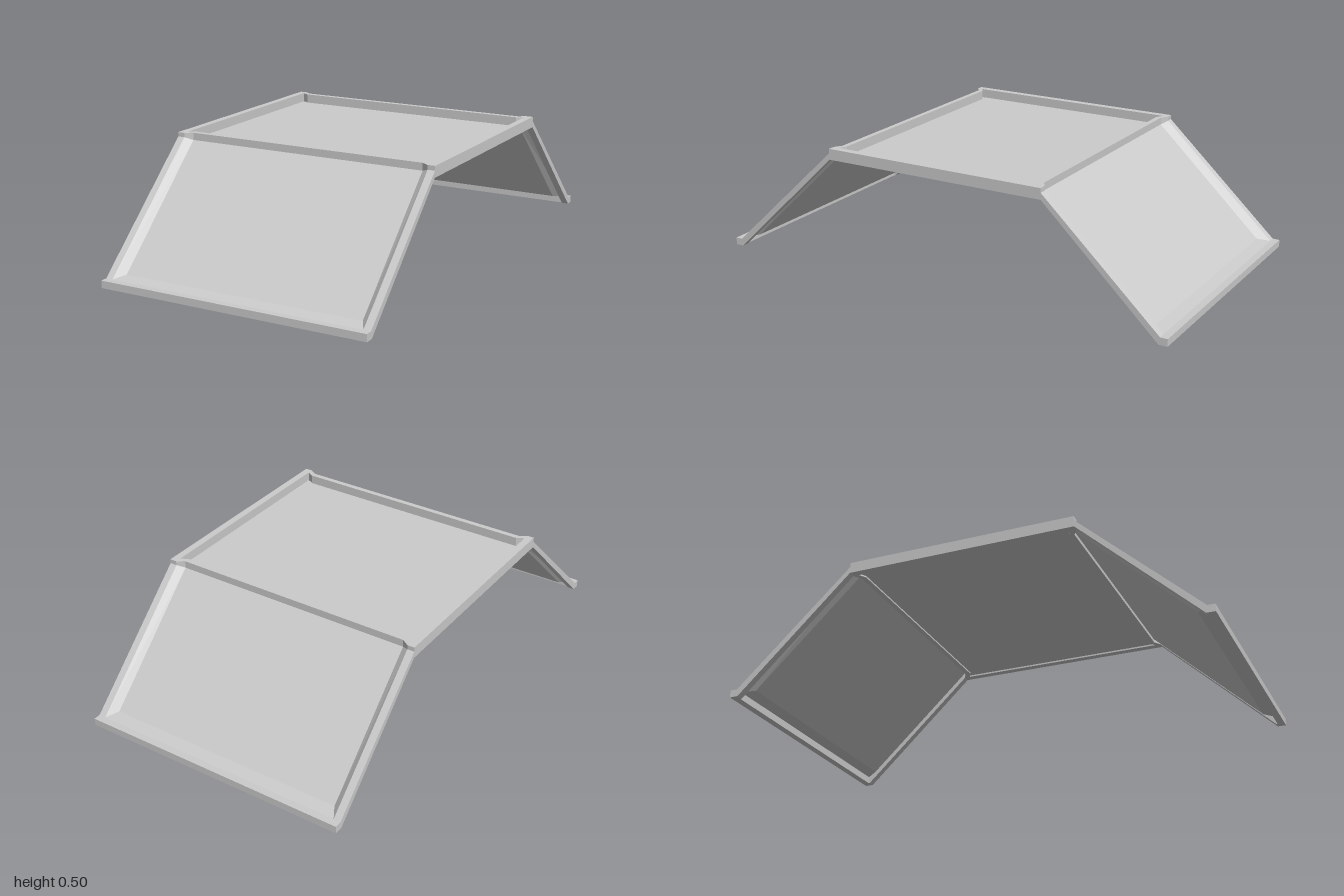
import * as THREE from 'three';

const material = new THREE.MeshStandardMaterial({ color: 0xcccccc, flatShading: true, side: THREE.DoubleSide });
const OUT = 0.575, RAIL = 0.545, PANEL = 0.515; // half widths
const TOP = 0.505, UNDER = 0.46;                // deck heights

function part(name, geometry) {
  const mesh = new THREE.Mesh(geometry, material);
  mesh.name = name;
  return mesh;
}

function extrude(points, depth) {
  const shape = new THREE.Shape(points.map(([x, y]) => new THREE.Vector2(x, y)));
  return new THREE.ExtrudeGeometry(shape, { depth, bevelEnabled: false });
}

// Flat sheet from four corners, anticlockwise seen from its front
function sheet(name, a, b, c, d) {
  const geometry = new THREE.BufferGeometry();
  geometry.setAttribute('position', new THREE.Float32BufferAttribute([a, b, c, a, c, d].flat(), 3));
  geometry.computeVertexNormals();
  return part(name, geometry);
}

// One side rail: the profile runs over both ramps and the deck
function sideRail(side) {
  const half = [[0.965, 0], [1, 0], [1, 0.03], [0.97, 0.03], [0.48, 0.487], [0.48, TOP]];
  const mirrored = half.map(([z, y]) => [-z, y]).reverse();
  const width = OUT - RAIL;
  const geometry = extrude([[0.48, UNDER], ...half, ...mirrored, [-0.48, UNDER]], width);
  geometry.translate(0, 0, -width / 2).rotateY(-Math.PI / 2);
  geometry.translate(side * (OUT - width / 2), 0, 0);
  return part(side > 0 ? 'leftRail' : 'rightRail', geometry);
}

// Ramp with its cross beam and foot, sloping towards +z
function ramp() {
  const group = new THREE.Group();

  // Beam between deck and ramp, stepped in at both ends
  const outline = [
    [-RAIL, 0.455], [-PANEL, 0.438], [PANEL, 0.438], [RAIL, 0.455],
    [RAIL, 0.48], [PANEL, 0.46], [-PANEL, 0.46], [-RAIL, 0.48],
  ];
  const beam = extrude(outline, TOP - UNDER).rotateX(Math.PI / 2);
  beam.translate(0, TOP, 0);
  group.add(part('crossBeam', beam));

  // Foot bar along the ground
  const foot = new THREE.BoxGeometry(2 * RAIL, 0.03, 0.03);
  foot.translate(0, 0.015, 0.985);
  group.add(part('footBar', foot));

  // Sunken panel with sloped borders
  const inner = (s, low) => low ? [s * PANEL, 0.04, 0.92] : [s * PANEL, 0.475, 0.46];
  const outer = (s, low) => low ? [s * RAIL, 0.03, 0.97] : [s * RAIL, 0.487, 0.48];
  group.add(
    sheet('rampPanel', inner(-1, true), inner(1, true), inner(1, false), inner(-1, false)),
    sheet('lowerBorder', outer(-1, true), outer(1, true), inner(1, true), inner(-1, true)),
    sheet('leftBorder', inner(1, true), outer(1, true), outer(1, false), inner(1, false)),
    sheet('rightBorder', outer(-1, true), inner(-1, true), inner(-1, false), outer(-1, false)),
  );
  return group;
}

export function createModel() {
  const model = new THREE.Group();
  model.name = 'rampPlatform';

  model.add(sideRail(1), sideRail(-1));

  // Sunken deck panel
  const y = 0.467, z = 0.46;
  model.add(sheet('deckPanel', [-RAIL, y, z], [RAIL, y, z], [RAIL, y, -z], [-RAIL, y, -z]));

  // The back ramp is the front one turned half a circle
  const front = ramp();
  front.name = 'frontRamp';
  const back = ramp();
  back.name = 'backRamp';
  back.rotation.y = Math.PI;
  model.add(front, back);
  return model;
}
